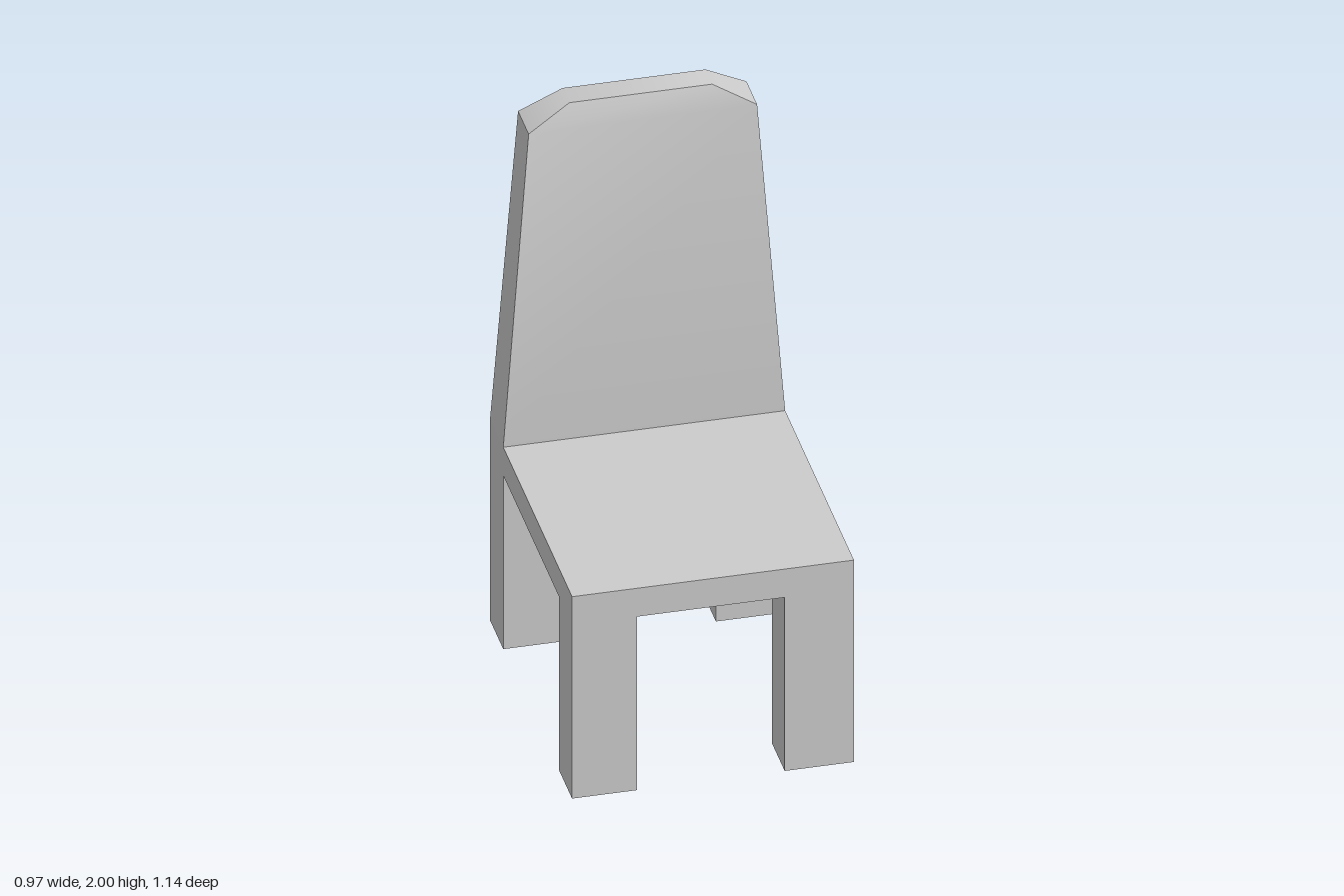
import * as THREE from 'three';
import { toCreasedNormals } from 'three/addons/utils/BufferGeometryUtils.js';

const material = new THREE.MeshStandardMaterial({ color: 0xcccccc });
const X = 0.464, Z = 0.552;            // half width and half depth of the seat
const SEAT_BOTTOM = 0.655, SEAT_TOP = 0.762;

// Box given by its limits on each axis
function box(name, [x0, x1], [y0, y1], [z0, z1]) {
  const geometry = new THREE.BoxGeometry(x1 - x0, y1 - y0, z1 - z0);
  geometry.translate((x0 + x1) / 2, (y0 + y1) / 2, (z0 + z1) / 2);
  const mesh = new THREE.Mesh(geometry, material);
  mesh.name = name;
  return mesh;
}

// Tapering backrest: a box whose three rings are moved to the rings below
function backrest() {
  const rings = [
    { y: SEAT_TOP, x: X, back: -Z, front: -0.374 },
    { y: 1.92, x: 0.376, back: -0.535, front: -0.392 },
    { y: 2.0, x: 0.235, back: -0.512, front: -0.421 },
  ];
  const geometry = new THREE.BoxGeometry(2, 2, 2, 1, 2, 1);
  const p = geometry.attributes.position;
  for (let i = 0; i < p.count; i++) {
    const ring = rings[Math.round(p.getY(i)) + 1];
    p.setXYZ(i, Math.sign(p.getX(i)) * ring.x, ring.y, p.getZ(i) > 0 ? ring.front : ring.back);
  }
  // Soft bevel at front and back, sharp sides
  const mesh = new THREE.Mesh(toCreasedNormals(geometry, Math.PI / 6), material);
  mesh.name = 'backrest';
  return mesh;
}

export function createModel() {
  const chair = new THREE.Group();
  chair.name = 'chair';

  chair.add(box('seat', [-X, X], [SEAT_BOTTOM, SEAT_TOP], [-Z, Z]));
  chair.add(backrest());

  // Four square legs, flush with the seat corners
  const sides = { Right: [-X, -0.25], Left: [0.236, X] };
  const ends = { front: [0.379, Z], back: [-Z, -0.374] };
  for (const [end, z] of Object.entries(ends))
    for (const [side, x] of Object.entries(sides))
      chair.add(box(`${end}${side}Leg`, x, [0, SEAT_BOTTOM], z));

  // The chair stands turned slightly about the vertical
  chair.rotation.y = -0.035;

  const model = new THREE.Group();
  model.add(chair);
  return model;
}
